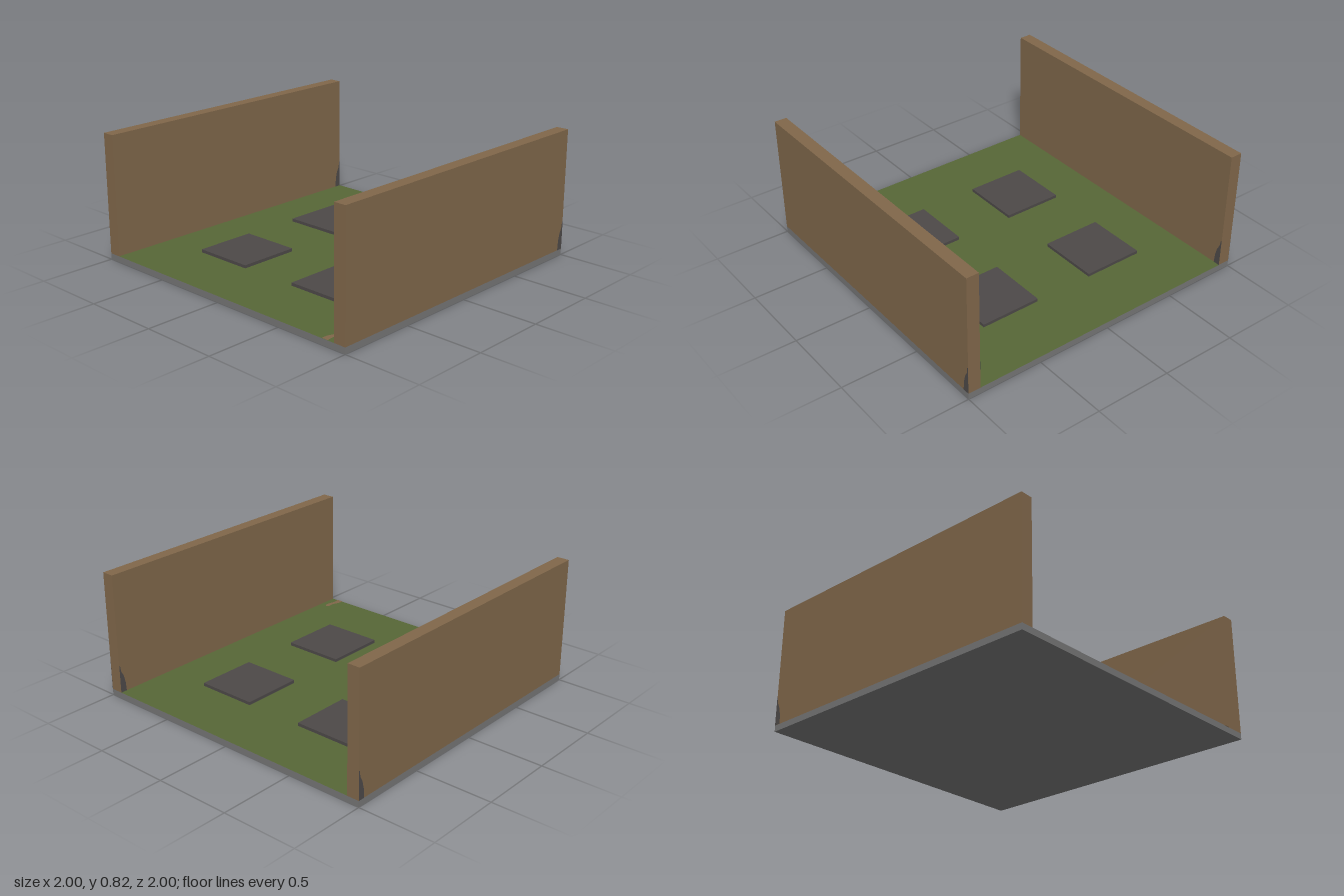
import * as THREE from 'three';

const material = (name, color, side = THREE.FrontSide) => {
  const m = new THREE.MeshStandardMaterial({ color, side });
  m.name = name;
  return m;
};

export function createModel() {
  const wood = material('wood brown', 0x80674a, THREE.DoubleSide);
  const grass = material('grass green', 0x566736);
  const stone = material('stone grey', 0x757575);
  const slate = material('dark slate', 0x4d4948, THREE.DoubleSide);

  const model = new THREE.Group();
  model.name = 'walledCourt';

  const add = (name, geometry, mat, x, y, z) => {
    const mesh = new THREE.Mesh(geometry, mat);
    mesh.name = name;
    mesh.position.set(x, y, z);
    model.add(mesh);
    return mesh;
  };
  const outline = (points) =>
    new THREE.ShapeGeometry(new THREE.Shape(points.map(([a, b]) => new THREE.Vector2(a, b))));

  // Stone slab with a grass top
  add('floor', new THREE.BoxGeometry(2, 0.04, 2),
    [stone, stone, grass, stone, stone, stone], 0, 0.02, 0);

  // Raised paving slabs
  const slab = new THREE.BoxGeometry(0.4, 0.02, 0.4);
  for (const x of [-0.4, 0.4])
    for (const z of [-0.4, 0.4]) add('pavingSlab', slab, slate, x, 0.05, z);

  // Side walls, each with a dark mark low at the back of both faces
  const wall = new THREE.BoxGeometry(0.08, 0.78, 2);
  const mark = outline([[-1, 0.04], [-0.956, 0.04], [-0.96, 0.1],
    [-0.972, 0.15], [-0.988, 0.18], [-0.994, 0.22], [-1, 0.225]]);
  for (const side of [-1, 1]) {
    add(side > 0 ? 'leftWall' : 'rightWall', wall, wood, side * 0.96, 0.43, 0);
    for (const x of [0.919, 1.001])
      add('wallMark', mark, slate, side * x, 0, 0).rotation.y = -Math.PI / 2;
  }

  // Small earth patch at the front edge of the grass
  const patch = outline([[0.83, 1], [0.833, 0.96], [0.85, 0.915], [0.849, 0.875],
    [0.863, 0.86], [0.878, 0.87], [0.881, 0.905], [0.869, 0.955], [0.874, 1]]);
  add('earthPatch', patch, wood, 0, 0.042, 0).rotation.x = Math.PI / 2;

  return model;
}
